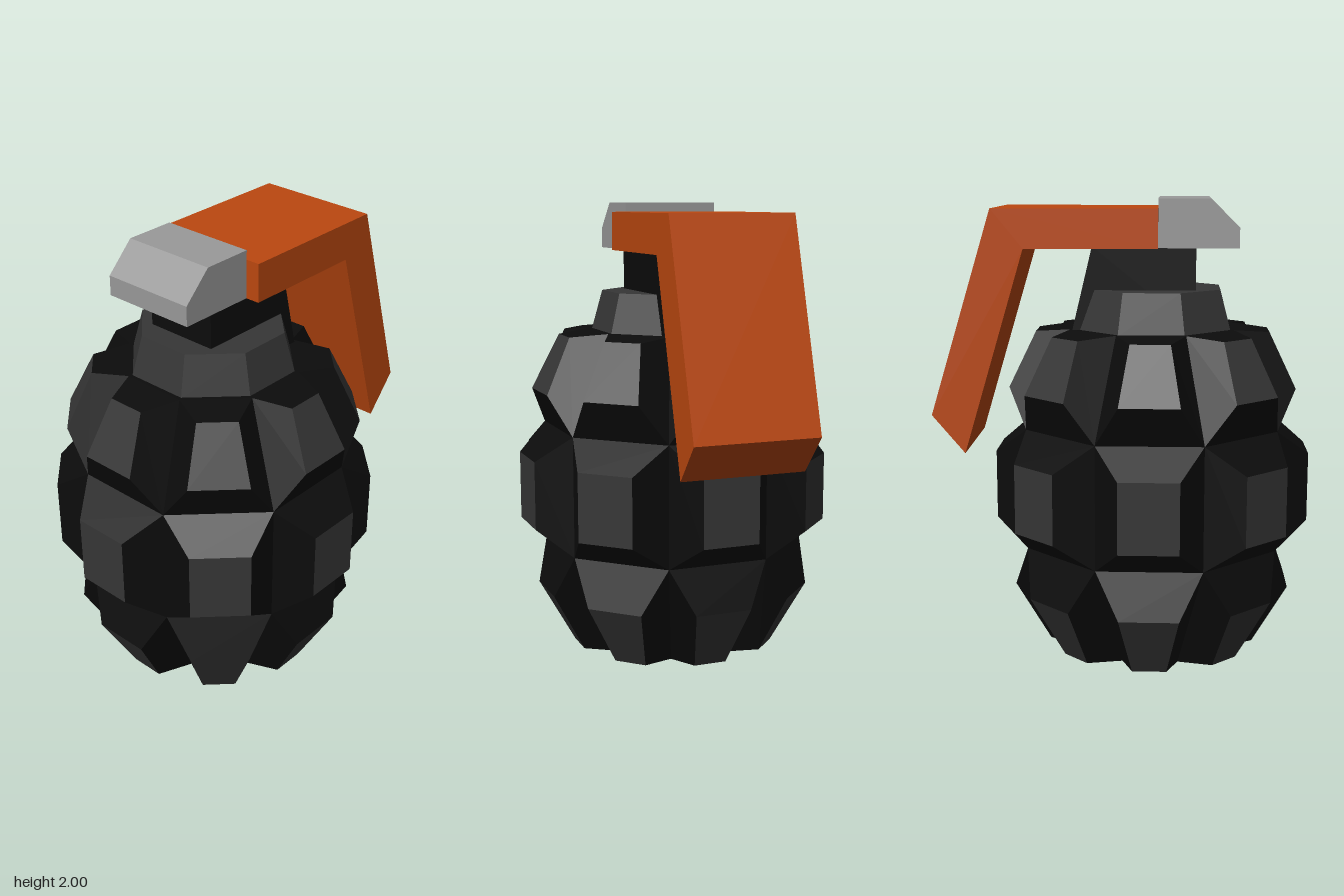
import * as THREE from 'three';

const AXIS = -0.125; // x of the body's axis
const TAN = Math.tan(Math.PI / 8);

const black = new THREE.MeshStandardMaterial({ color: 0x0c0c0c });
black.name = 'black';
const charcoal = new THREE.MeshStandardMaterial({ color: 0x363636 });
charcoal.name = 'charcoal';
const grey = new THREE.MeshStandardMaterial({ color: 0x9a9a9a });
grey.name = 'grey';
const orange = new THREE.MeshStandardMaterial({ color: 0xbc4810 });
orange.name = 'orange';

function named(name, geometry, material) {
  const mesh = new THREE.Mesh(geometry, material);
  mesh.name = name;
  return mesh;
}

function facets(positions) {
  const g = new THREE.BufferGeometry();
  g.setAttribute('position', new THREE.Float32BufferAttribute(positions, 3));
  g.computeVertexNormals();
  return g;
}

// Corners run counter-clockwise seen from outside
function addQuad(out, a, b, c, d) {
  for (const p of [a, b, c, a, c, d]) out.push(...p);
}

// Side outline in x and y, extruded evenly to both sides of z = 0
function slab(points, halfDepth) {
  const shape = new THREE.Shape(points.map(([x, y]) => new THREE.Vector2(x, y)));
  const g = new THREE.ExtrudeGeometry(shape, { depth: halfDepth * 2, bevelEnabled: false });
  return g.translate(0, 0, -halfDepth);
}

// Rows of the body: cell edges as [y, radius], pad edges as [y, radius, half width]
const ROWS = [
  { name: 'lower', cell: [[0, 0.29], [0.49, 0.538]], pad: [[0.02, 0.455, 0.073], [0.295, 0.605, 0.125]] },
  { name: 'middle', cell: [[0.49, 0.538], [1.02, 0.538]], pad: [[0.605, 0.682, 0.125], [0.905, 0.682, 0.125]] },
  { name: 'upper', cell: [[1.02, 0.538], [1.445, 0.35]], pad: [[1.19, 0.62, 0.125], [1.43, 0.505, 0.083]] },
];

function buildRow(row) {
  const sides = [], pads = [];
  for (let i = 0; i < 8; i++) {
    const a = (i * Math.PI) / 4, s = Math.sin(a), c = Math.cos(a);
    const pt = (u, y, r) => [AXIS + r * s + u * c, y, r * c - u * s];
    const ring = ([[y0, r0, w0 = r0 * TAN], [y1, r1, w1 = r1 * TAN]]) =>
      [pt(-w0, y0, r0), pt(w0, y0, r0), pt(w1, y1, r1), pt(-w1, y1, r1)];
    const base = ring(row.cell), top = ring(row.pad);
    addQuad(pads, ...top);
    for (let k = 0; k < 4; k++) {
      const n = (k + 1) % 4;
      addQuad(sides, base[k], base[n], top[n], top[k]);
    }
  }
  const group = new THREE.Group();
  group.name = row.name + 'Row';
  group.add(named(row.name + 'Blocks', facets(sides), black));
  group.add(named(row.name + 'Pads', facets(pads), charcoal));
  return group;
}

// Octagon with flat sides facing the axes; radii are to the flats
function octagon(rTop, rBottom, y0, y1) {
  const k = 1 / Math.cos(Math.PI / 8);
  const g = new THREE.CylinderGeometry(rTop * k, rBottom * k, y1 - y0, 8);
  return g.rotateY(Math.PI / 8).translate(AXIS, (y0 + y1) / 2, 0);
}

export function createModel() {
  const model = new THREE.Group();
  model.name = 'grenade';

  // Segmented body and its closing core
  const body = new THREE.Group();
  body.name = 'body';
  for (const row of ROWS) body.add(buildRow(row));
  body.add(named('lowerCore', octagon(0.538, 0.29, 0, 0.49).scale(1, 1, 1), black));
  body.add(named('upperCore', octagon(0.35, 0.538, 1.02, 1.445), black));
  model.add(body);

  // Collar and neck
  const collarGeo = octagon(0.29, 0.335, 1.44, 1.615).toNonIndexed();
  collarGeo.computeVertexNormals();
  model.add(named('collar', collarGeo, charcoal));
  model.add(named('neck', slab([[-0.31, 1.445], [0.215, 1.445], [0.13, 1.8], [-0.31, 1.8]], 0.165), black));

  // Fuse head
  model.add(named('fuseHead', slab(
    [[-0.49, 1.795], [-0.15, 1.795], [-0.15, 2], [-0.37, 2], [-0.49, 1.88]], 0.21), grey));

  // Bent safety lever
  model.add(named('lever', slab(
    [[-0.15, 1.795], [0.41, 1.795], [0.67, 0.925], [0.81, 1.09], [0.545, 1.96], [-0.15, 1.96]], 0.272), orange));

  return model;
}
